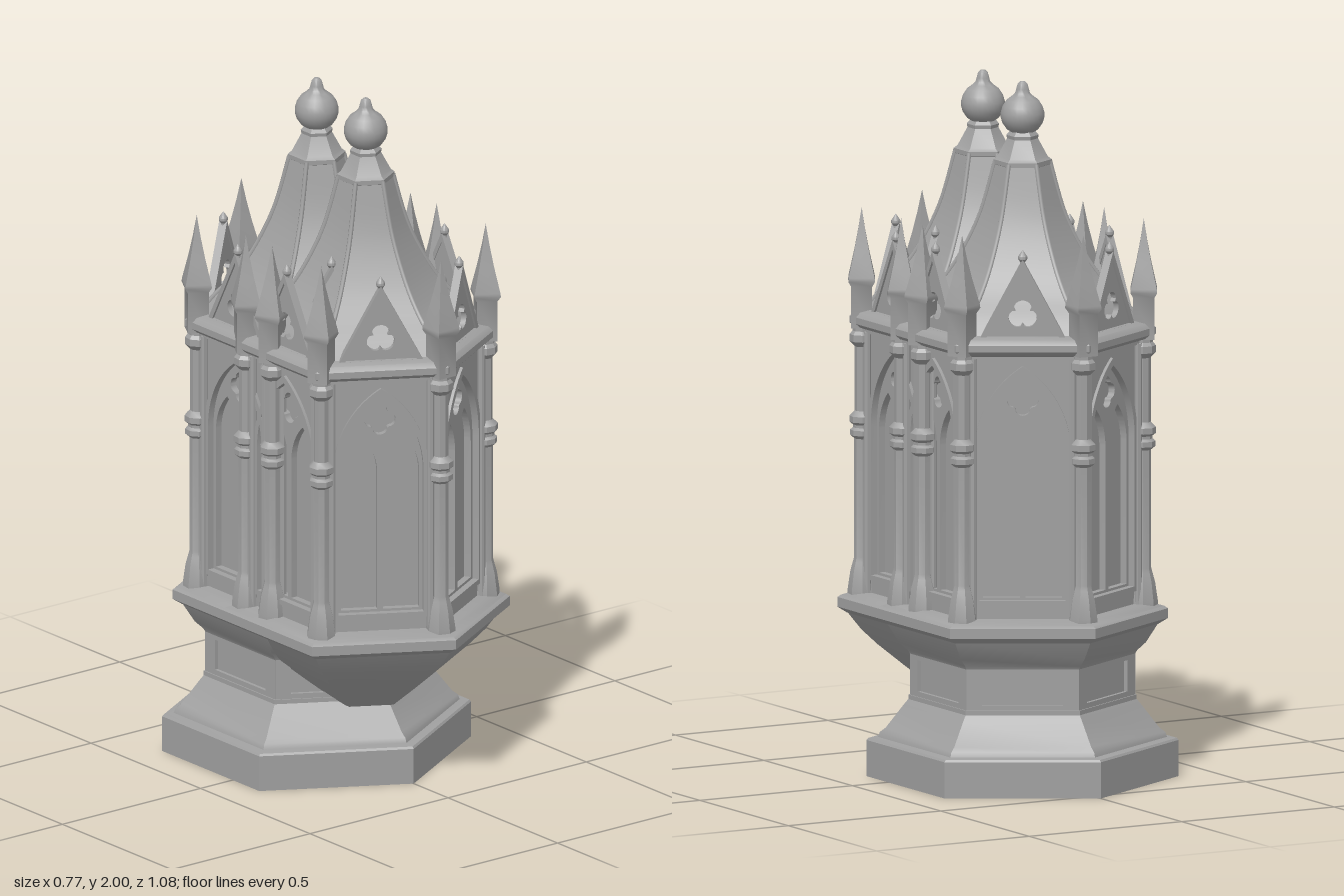
import * as THREE from 'three';
import { toCreasedNormals } from 'three/addons/utils/BufferGeometryUtils.js';

const stone = new THREE.MeshStandardMaterial({ color: 0xa0a0a0 });
stone.name = 'grey stone';

function add(parent, name, geometry) {
  const mesh = new THREE.Mesh(geometry, stone);
  mesh.name = name;
  parent.add(mesh);
  return mesh;
}

// Turned or prismatic solid from [radius, y] pairs, bottom to top; corner at +z
function turned(profile, sides) {
  const pts = profile.map(([r, y]) => new THREE.Vector2(r, y));
  return toCreasedNormals(new THREE.LatheGeometry(pts, sides), 0.6);
}

// Upright plate whose front lies at z = front
function plate(shape, front, depth) {
  const g = new THREE.ExtrudeGeometry(shape, { depth, bevelEnabled: false, curveSegments: 10 });
  g.translate(0, 0, front - depth);
  return toCreasedNormals(g, 0.5);
}

// Pointed arch outline: centre x, half width, sill, springing line, rise
function lancet(Type, x, w, sill, spring, rise) {
  const r = (w * w + rise * rise) / (2 * w);
  const a = Math.asin(rise / r);
  const p = new Type();
  p.moveTo(x - w, sill);
  p.lineTo(x + w, sill);
  p.lineTo(x + w, spring);
  p.absarc(x + w - r, spring, r, 0, a, false);
  p.absarc(x - w + r, spring, r, Math.PI - a, Math.PI, false);
  p.closePath();
  return p;
}

// Foil opening with rounded lobes, one lobe pointing up
function foil(y, radius, lobes) {
  const pts = [];
  for (let i = 0; i < 36; i++) {
    const t = (i / 36) * Math.PI * 2;
    const r = radius * (0.55 + 0.45 * Math.sqrt(Math.abs(Math.cos((t * lobes) / 2))));
    pts.push(new THREE.Vector2(r * Math.sin(t), y + r * Math.cos(t)));
  }
  return new THREE.Path(pts);
}

function polygon(Type, points) {
  return new Type(points.map(([x, y]) => new THREE.Vector2(x, y)));
}
const rect = (Type, w, y0, y1) => polygon(Type, [[-w, y0], [w, y0], [w, y1], [-w, y1]]);
function pierced(shape, ...holes) {
  shape.holes.push(...holes);
  return shape;
}

// Wall panel with arched opening, moulding and tracery
const wallGeo = plate(pierced(rect(THREE.Shape, 0.165, 0.49, 1.26),
  lancet(THREE.Path, 0, 0.125, 0.55, 0.98, 0.23)), 0.288, 0.03);
const mouldGeo = plate(pierced(lancet(THREE.Shape, 0, 0.137, 0.538, 0.98, 0.248),
  lancet(THREE.Path, 0, 0.122, 0.553, 0.98, 0.226)), 0.297, 0.02);
const traceryGeo = plate(pierced(lancet(THREE.Shape, 0, 0.126, 0.549, 0.98, 0.231),
  lancet(THREE.Path, -0.06, 0.052, 0.56, 0.97, 0.115),
  lancet(THREE.Path, 0.06, 0.052, 0.56, 0.97, 0.115),
  foil(1.128, 0.045, 4)), 0.276, 0.02);

// Gable with trefoil, coping and finial
const gableGeo = plate(pierced(polygon(THREE.Shape, [[-0.118, 1.3], [0.118, 1.3], [0, 1.525]]),
  foil(1.375, 0.042, 3)), 0.291, 0.016);
const copingGeo = plate(pierced(polygon(THREE.Shape, [[-0.126, 1.3], [0.126, 1.3], [0, 1.535]]),
  polygon(THREE.Path, [[-0.103, 1.312], [0.103, 1.312], [0, 1.507]])), 0.297, 0.024);
const finialGeo = turned([[0, 1.51], [0.008, 1.515], [0.007, 1.527], [0.013, 1.535], [0.013, 1.543],
  [0.007, 1.552], [0, 1.562]], 12);

// Corner column: main shaft with rings, and slim side shafts
const columnGeo = turned([[0, 0.485], [0.042, 0.49], [0.042, 0.505], [0.034, 0.56], [0.027, 0.585],
  [0.023, 0.6], [0.023, 0.94], [0.035, 0.95], [0.035, 0.965], [0.027, 0.972], [0.027, 0.98],
  [0.037, 0.988], [0.037, 1.005], [0.022, 1.02], [0.022, 1.205], [0.036, 1.22], [0.036, 1.24],
  [0.028, 1.25], [0.028, 1.27]], 8);
const sideShaftGeo = turned([[0.011, 0.5], [0.011, 1.25]], 8);

// Four-sided pinnacle, turned so its sides face outwards
const k = Math.SQRT2;
const pinnacleGeo = turned([[0.03, 1.26], [0.03, 1.38], [0.038, 1.395], [0.037, 1.405],
  [0.021, 1.48], [0.01, 1.54], [0, 1.605]].map(([r, y]) => [r * k, y]), 4);
pinnacleGeo.rotateY(Math.PI / 4);

// Hexagonal spire with its curved profile
const roofCurve = new THREE.SplineCurve([[0.335, 1.31], [0.295, 1.36], [0.235, 1.42], [0.178, 1.5],
  [0.12, 1.62], [0.078, 1.77]].map(([r, y]) => new THREE.Vector2(r, y)));
const roofPoints = roofCurve.getPoints(16);
const roofGeo = turned(roofPoints.map((p) => [p.x, p.y]), 6);
const ribGeo = new THREE.TubeGeometry(new THREE.CatmullRomCurve3(
  roofPoints.map((p) => new THREE.Vector3(0, p.y, p.x))), 20, 0.007, 6);
const collarGeo = turned([[0.07, 1.755], [0.083, 1.762], [0.083, 1.775], [0.072, 1.783],
  [0.044, 1.835], [0.046, 1.845], [0.036, 1.857], [0, 1.858]], 6);
const ballGeo = turned([[0.028, 1.845], [0.03, 1.852], [0.046, 1.863], [0.057, 1.879], [0.062, 1.895],
  [0.062, 1.91], [0.057, 1.928], [0.046, 1.945], [0.03, 1.957], [0.021, 1.966], [0.018, 1.977],
  [0.014, 1.992], [0.007, 1.999], [0, 2]], 24);

// Hexagonal mouldings shared by both turrets
const ledgeGeo = turned([[0, 0.435], [0.385, 0.438], [0.413, 0.455], [0.413, 0.483], [0.402, 0.49],
  [0.365, 0.5], [0, 0.5]], 6);
const coreGeo = turned([[0, 0.49], [0.29, 0.49], [0.29, 1.27], [0, 1.27]], 6);
const corniceGeo = turned([[0, 1.245], [0.345, 1.246], [0.345, 1.256], [0.365, 1.262], [0.378, 1.273],
  [0.378, 1.292], [0.365, 1.306], [0.335, 1.314], [0, 1.314]], 6);

function spoke(parent, name, angle) {
  const g = new THREE.Group();
  g.name = name;
  g.rotation.y = angle;
  parent.add(g);
  return g;
}

// One turret; side is +1 when its open end faces the front, -1 the back
function turret(name, side) {
  const t = new THREE.Group();
  t.name = name;
  add(t, 'ledge', ledgeGeo);
  add(t, 'windowPanes', coreGeo);
  add(t, 'cornice', corniceGeo);
  add(t, 'spireRoof', roofGeo);
  add(t, 'spireCollar', collarGeo);
  add(t, 'spireBall', ballGeo);
  for (let i = 0; i < 6; i++) {
    const corner = (i * Math.PI) / 3;
    add(t, 'roofRib', ribGeo).rotation.y = corner;
    // Corners and walls buried in the other turret are left out
    if (Math.cos(corner) * side > -0.9) {
      const c = spoke(t, 'cornerPier', corner);
      add(c, 'column', columnGeo).position.z = 0.342;
      for (const s of [-1, 1]) add(c, 'sideShaft', sideShaftGeo).position.set(s * 0.026, 0, 0.328);
      add(c, 'pinnacle', pinnacleGeo).position.z = 0.344;
    }
    const angle = corner + Math.PI / 6;
    const open = Math.cos(angle) * side > -0.5;
    const f = spoke(t, 'wallSide', angle);
    if (open) {
      add(f, 'wall', wallGeo);
      add(f, 'archMoulding', mouldGeo);
      add(f, 'tracery', traceryGeo);
    }
    if (open || side < 0) {
      add(f, 'gable', gableGeo);
      add(f, 'gableCoping', copingGeo);
      add(f, 'gableFinial', finialGeo).position.z = 0.285;
    }
  }
  return t;
}

export function createModel() {
  const model = new THREE.Group();
  model.name = 'twinTurretShrine';

  const front = turret('frontTurret', 1);
  front.position.z = 0.124;
  // Hanging corbel under the front turret
  add(front, 'corbel', turned([[0, 0.212], [0.127, 0.212], [0.225, 0.288], [0.3, 0.348],
    [0.345, 0.39], [0.385, 0.44]], 6));

  const back = turret('backTurret', -1);
  back.position.z = -0.1;
  // Stepped foot and panelled neck under the back turret
  add(back, 'foot', turned([[0, 0], [0.443, 0], [0.443, 0.104], [0.438, 0.11], [0.41, 0.113],
    [0.405, 0.127], [0.388, 0.14], [0.338, 0.205], [0.324, 0.222], [0.324, 0.235], [0, 0.238]], 6));
  add(back, 'neck', turned([[0.308, 0.22], [0.308, 0.37]], 6));
  add(back, 'neckFlare', turned([[0, 0.352], [0.32, 0.353], [0.325, 0.362], [0.35, 0.385],
    [0.385, 0.44]], 6));
  const frameGeo = plate(pierced(rect(THREE.Shape, 0.16, 0.23, 0.36),
    rect(THREE.Path, 0.115, 0.25, 0.34)), 0.277, 0.02);
  for (let i = 0; i < 6; i++) {
    add(back, 'neckPanelFrame', frameGeo).rotation.y = Math.PI / 6 + (i * Math.PI) / 3;
  }

  model.add(front, back);
  return model;
}
